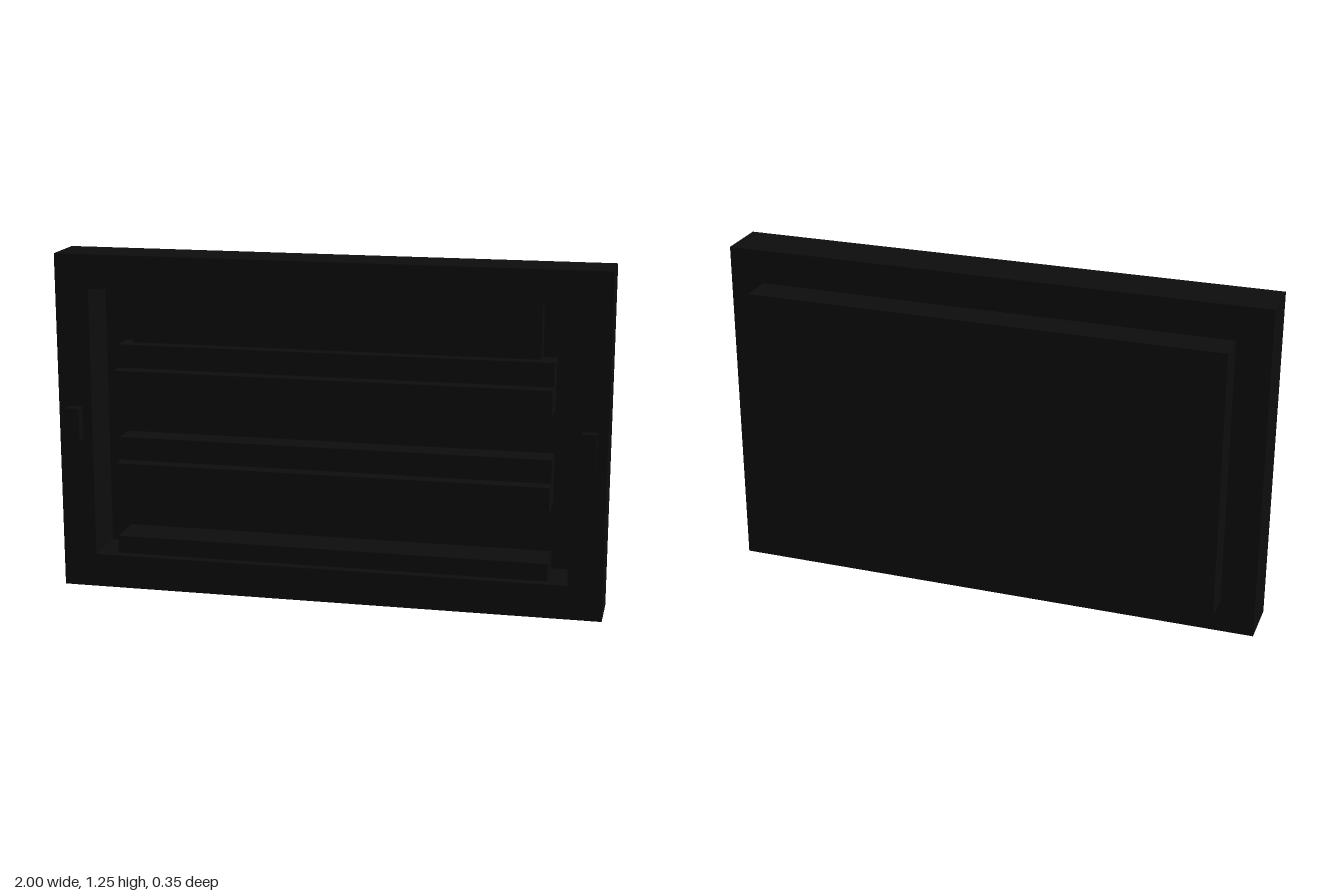
import * as THREE from 'three';

const FRONT = 0.1375; // front plane of the frame
const FLOOR = -0.05; // floor of the recess

export function createModel() {
  const group = new THREE.Group();
  const black = new THREE.MeshStandardMaterial({ color: 0x0d0d0d });
  black.name = 'black';

  // Box given by its limits on each axis
  function box(name, x0, x1, y0, y1, z0, z1) {
    const mesh = new THREE.Mesh(new THREE.BoxGeometry(x1 - x0, y1 - y0, z1 - z0), black);
    mesh.position.set((x0 + x1) / 2, (y0 + y1) / 2, (z0 + z1) / 2);
    mesh.name = name;
    group.add(mesh);
  }

  // Rectangular frame with an open window
  const outline = new THREE.Shape();
  outline.moveTo(-1, 0).lineTo(1, 0).lineTo(1, 1.25).lineTo(-1, 1.25).closePath();
  const opening = new THREE.Path();
  opening.moveTo(-0.875, 0.125).lineTo(-0.875, 1.125).lineTo(0.875, 1.125).lineTo(0.875, 0.125).closePath();
  outline.holes.push(opening);
  const frame = new THREE.Mesh(
    new THREE.ExtrudeGeometry(outline, { depth: FRONT - FLOOR, bevelEnabled: false }), black);
  frame.position.z = FLOOR;
  frame.name = 'frame';
  group.add(frame);

  // Rear housing, whose front face closes the recess
  box('rearHousing', -0.875, 0.875, 0.125, 1.125, -0.175, FLOOR);

  // Top panel inside the recess
  box('topPanel', -0.75, 0.75, 0.91, 1.125, FLOOR, FRONT - 0.125);

  // Stepped slats: a set-back upper part over a projecting lip
  for (const y of [0.72, 0.37]) {
    box('slatUpper', -0.8, 0.8, y + 0.1, y + 0.187, FLOOR, FRONT - 0.09);
    box('slatLip', -0.8, 0.8, y, y + 0.1, FLOOR, FRONT - 0.035);
  }
  box('bottomSlat', -0.8, 0.8, 0.125, 0.19, FLOOR, FRONT - 0.035);

  // Small handles on the side rails
  for (const side of [-1, 1]) {
    const x = side * 0.9375;
    box(side > 0 ? 'leftHandle' : 'rightHandle', x - 0.025, x + 0.025, 0.5625, 0.6875, FRONT, 0.175);
  }

  return group;
}
